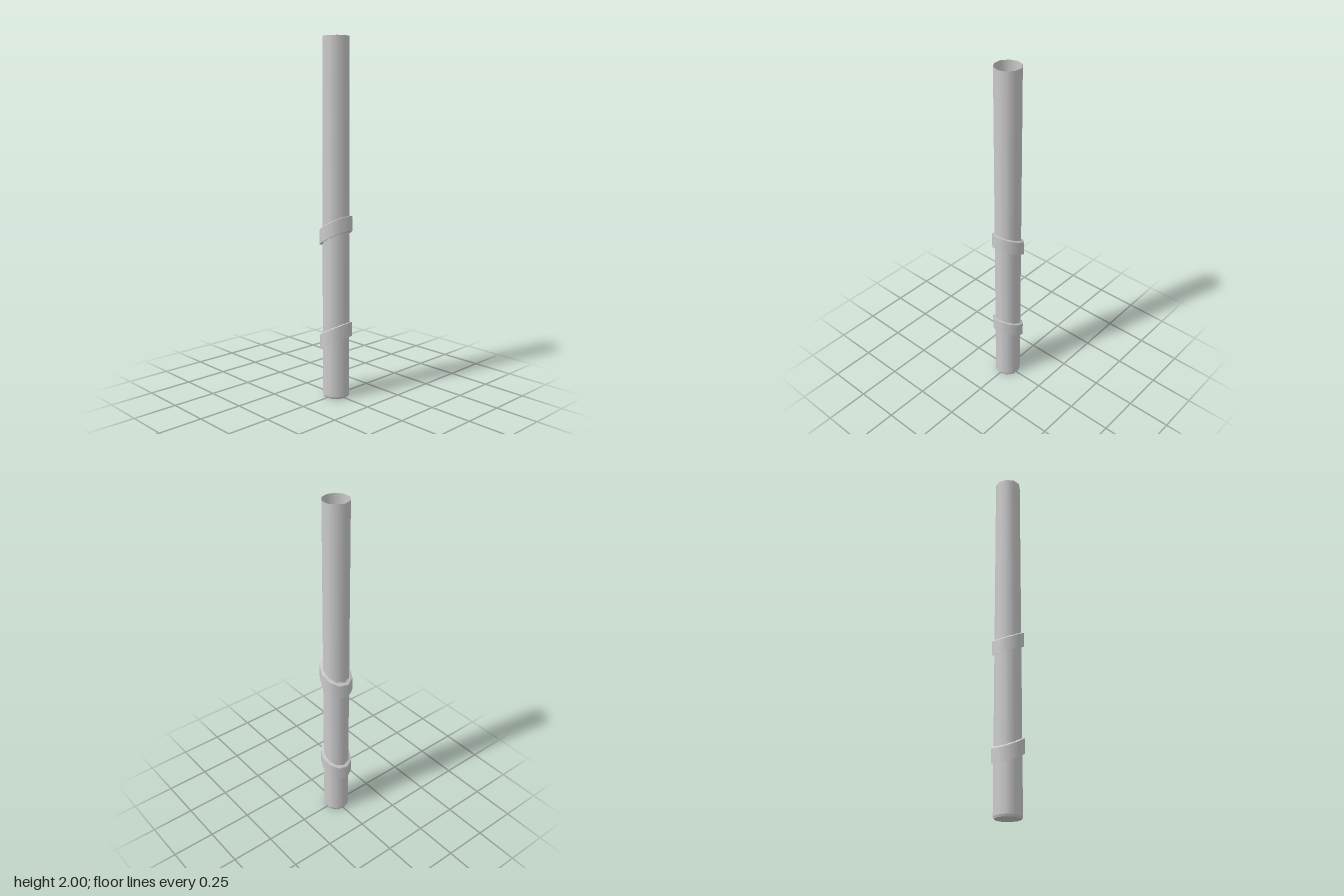
import * as THREE from 'three';

const SIDES = 10;
const material = new THREE.MeshStandardMaterial({ color: 0xcccccc, side: THREE.DoubleSide });

// One smooth band of revolution between two [radius, y] points.
function band(name, from, to, start) {
  const points = [new THREE.Vector2(...from), new THREE.Vector2(...to)];
  const mesh = new THREE.Mesh(new THREE.LatheGeometry(points, SIDES, start), material);
  mesh.name = name;
  return mesh;
}

// Collar whose height follows a slanted plane while its sides stay vertical.
function slantedCollar(name, y) {
  const inner = 0.073, outer = 0.091, half = 0.041, start = 1.74;
  const group = new THREE.Group();
  group.name = name;
  group.add(
    band('collarUnderside', [inner, -half], [outer, -half], start),
    band('collarSide', [outer, -half], [outer, half], start),
    band('collarTop', [outer, half], [inner, half + 0.006], start)
  );
  const shear = new THREE.Matrix4().set(
    1, 0, 0, 0,
    0.52, 1, -0.07, 0,
    0, 0, 1, 0,
    0, 0, 0, 1
  );
  group.children.forEach((mesh) => mesh.geometry.applyMatrix4(shear));
  group.position.y = y;
  return group;
}

export function createModel() {
  const model = new THREE.Group();
  model.name = 'tubeWithCollars';

  // Hollow, slightly tapered tube, open at the top
  const start = Math.PI / 2;
  model.add(band('tubeWall', [0.0765, 0.012], [0.073, 2], start));
  model.add(band('bottomBevel', [0.072, 0], [0.0765, 0.012], start));

  // Closed bottom
  const floor = new THREE.Mesh(new THREE.CircleGeometry(0.072, SIDES), material);
  floor.name = 'tubeFloor';
  floor.rotation.x = Math.PI / 2;
  model.add(floor);

  // Two slanted collars
  model.add(slantedCollar('lowerCollar', 0.352), slantedCollar('upperCollar', 0.953));
  return model;
}
